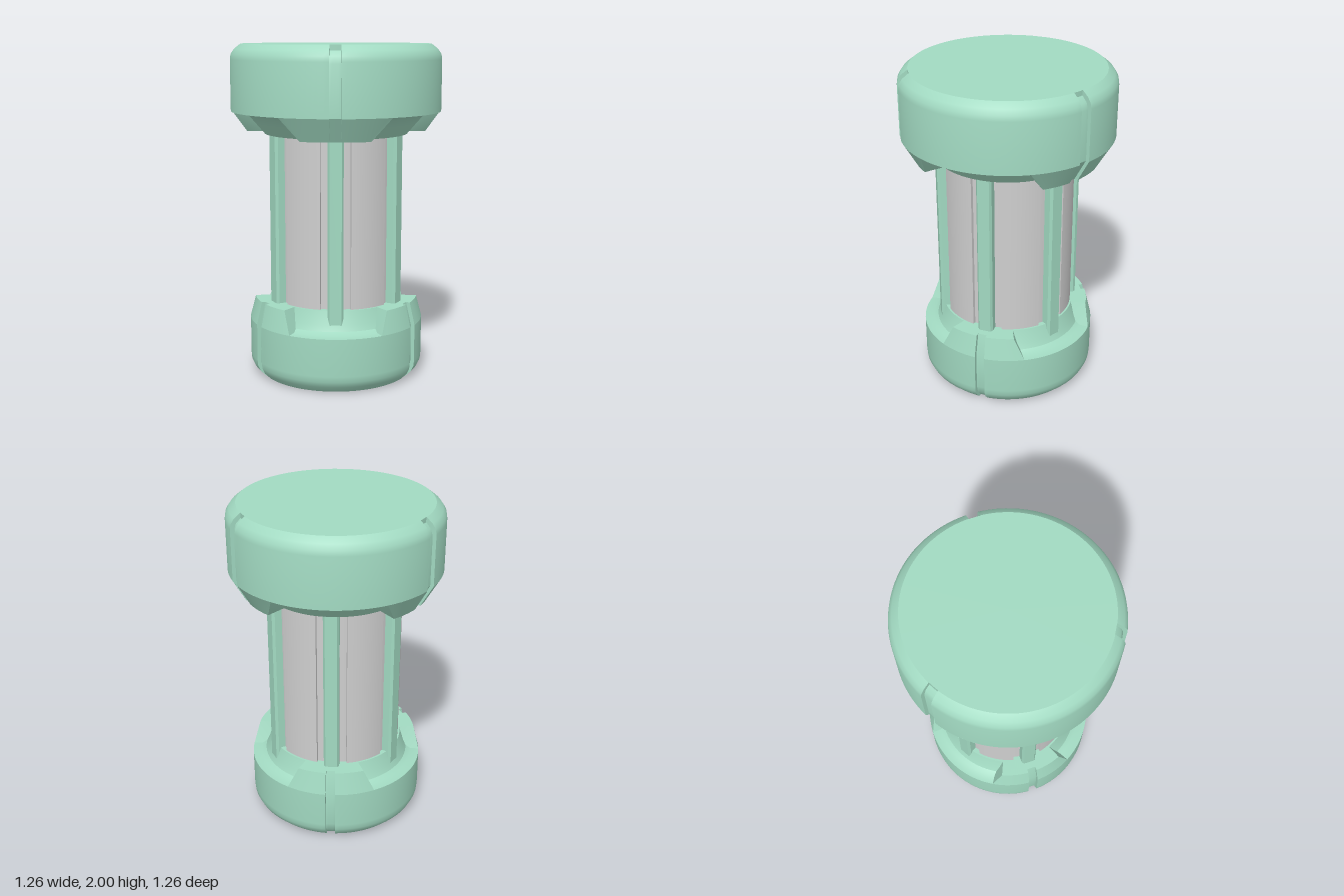
import * as THREE from 'three';
import { toCreasedNormals } from 'three/addons/utils/BufferGeometryUtils.js';

const deg = Math.PI / 180;
const GROOVE = 3.2; // half angle of a rim groove, degrees

// Solid sweep of a closed [radius, y] loop (outer side going up) around y,
// between two angles in degrees that may depend on y. Angle 0 is the front.
function sector(loop, from, to, steps) {
  const pos = [], index = [], n = loop.length;
  const angle = (a, y) => (typeof a === 'function' ? a(y) : a) * deg;
  for (let j = 0; j <= steps; j++) {
    for (const [r, y] of loop) {
      const a = THREE.MathUtils.lerp(angle(from, y), angle(to, y), j / steps);
      pos.push(r * Math.sin(a), y, r * Math.cos(a));
    }
  }
  for (let j = 0; j < steps; j++) {
    for (let i = 0; i < n; i++) {
      const k = (i + 1) % n;
      const a = j * n + i, b = a + n, c = (j + 1) * n + k, d = j * n + k;
      if (loop[i][0] === 0 && loop[k][0] === 0) continue;
      if (loop[i][0] > 0) index.push(a, b, c);
      if (loop[k][0] > 0) index.push(a, c, d);
      else if (loop[i][0] > 0 && loop[k][0] === 0) continue;
    }
  }
  // end walls
  const contour = loop.map(([r, y]) => new THREE.Vector2(r, y));
  for (const [a, b, c] of THREE.ShapeUtils.triangulateShape(contour, [])) {
    const e = steps * n;
    index.push(a, b, c, e + a, e + c, e + b);
  }
  const geo = new THREE.BufferGeometry();
  geo.setAttribute('position', new THREE.Float32BufferAttribute(pos, 3));
  geo.setIndex(index);
  return toCreasedNormals(geo, 0.5);
}

export function createModel() {
  const model = new THREE.Group();
  const green = new THREE.MeshStandardMaterial({ color: 0xa2dac2 });
  green.name = 'mint green';
  const grey = new THREE.MeshStandardMaterial({ color: 0xcfcfcf });
  grey.name = 'light grey';

  function add(parent, name, geo, material, turn = 0) {
    const mesh = new THREE.Mesh(geo, material);
    mesh.name = name;
    mesh.rotation.y = turn * deg;
    parent.add(mesh);
  }

  // A cap: three wide body sectors, three grooves, and a split lobe at each groove
  function addCap(name, body, groove, lobe, half, firstTurn) {
    const cap = new THREE.Group();
    cap.name = name;
    const bodyGeo = sector(body, GROOVE, 120 - GROOVE, 40);
    const grooveGeo = sector(groove, -GROOVE, GROOVE, 4);
    const lobeLeft = sector(lobe, GROOVE, half, 12);
    const lobeRight = sector(lobe, (y) => -half(y), -GROOVE, 12);
    for (let i = 0; i < 3; i++) {
      const turn = firstTurn + i * 120;
      add(cap, 'capBody', bodyGeo, green, turn);
      add(cap, 'capGroove', grooveGeo, green, turn);
      add(cap, 'lobeLeft', lobeLeft, green, turn);
      add(cap, 'lobeRight', lobeRight, green, turn);
    }
    model.add(cap);
  }

  // Wide top cap with lobes hanging below
  addCap('topCap',
    [[0, 1.47], [0.43, 1.47], [0.49, 1.54], [0.525, 1.58], [0.57, 1.602], [0.63, 1.605],
      [0.63, 1.91], [0.625, 1.94], [0.605, 1.97], [0.567, 2], [0, 2]],
    [[0, 1.47], [0.53, 1.47], [0.608, 1.605], [0.608, 1.9], [0.595, 1.94], [0.565, 1.97],
      [0.565, 2], [0, 2]],
    [[0.4, 1.47], [0.553, 1.47], [0.63, 1.605], [0.4, 1.605]],
    (y) => THREE.MathUtils.mapLinear(y, 1.47, 1.605, 21, 30), 0);

  // Smaller base cap with lobes standing up and a dished underside
  addCap('baseCap',
    [[0, 0.06], [0.265, 0.06], [0.4, 0], [0.47, 0], [0.51, 0.04], [0.527, 0.075], [0.53, 0.11],
      [0.53, 0.335], [0.475, 0.338], [0.447, 0.355], [0.43, 0.39], [0.405, 0.47], [0, 0.47]],
    [[0, 0.06], [0.265, 0.06], [0.4, 0], [0.45, 0], [0.492, 0.05], [0.506, 0.1],
      [0.506, 0.335], [0.473, 0.47], [0, 0.47]],
    [[0.38, 0.335], [0.53, 0.335], [0.497, 0.47], [0.38, 0.47]],
    (y) => THREE.MathUtils.mapLinear(y, 0.335, 0.47, 29.5, 23), 60);

  // Grey shaft: core with six raised panels between six ribs
  const core = new THREE.CylinderGeometry(0.375, 0.375, 1.1, 72, 1, true);
  core.translate(0, 0.95, 0);
  add(model, 'shaftCore', core, grey);

  const panel = sector([[0.3, 0.4], [0.394, 0.4], [0.394, 1.5], [0.3, 1.5]], 13.2, 46.8, 14);

  // Rib cross-section with chamfered outer corners, extruded upwards
  const section = new THREE.Shape([[-0.046, -0.3], [0.046, -0.3], [0.046, -0.415], [0.035, -0.43],
    [-0.035, -0.43], [-0.046, -0.415]].map(([x, y]) => new THREE.Vector2(x, y)));
  const rib = new THREE.ExtrudeGeometry(section, { depth: 1.14, bevelEnabled: false });
  rib.rotateX(-Math.PI / 2);
  rib.translate(0, 0.36, 0);

  for (let i = 0; i < 6; i++) {
    add(model, 'shaftPanel', panel, grey, i * 60);
    add(model, 'shaftRib', rib, green, i * 60);
  }
  return model;
}
